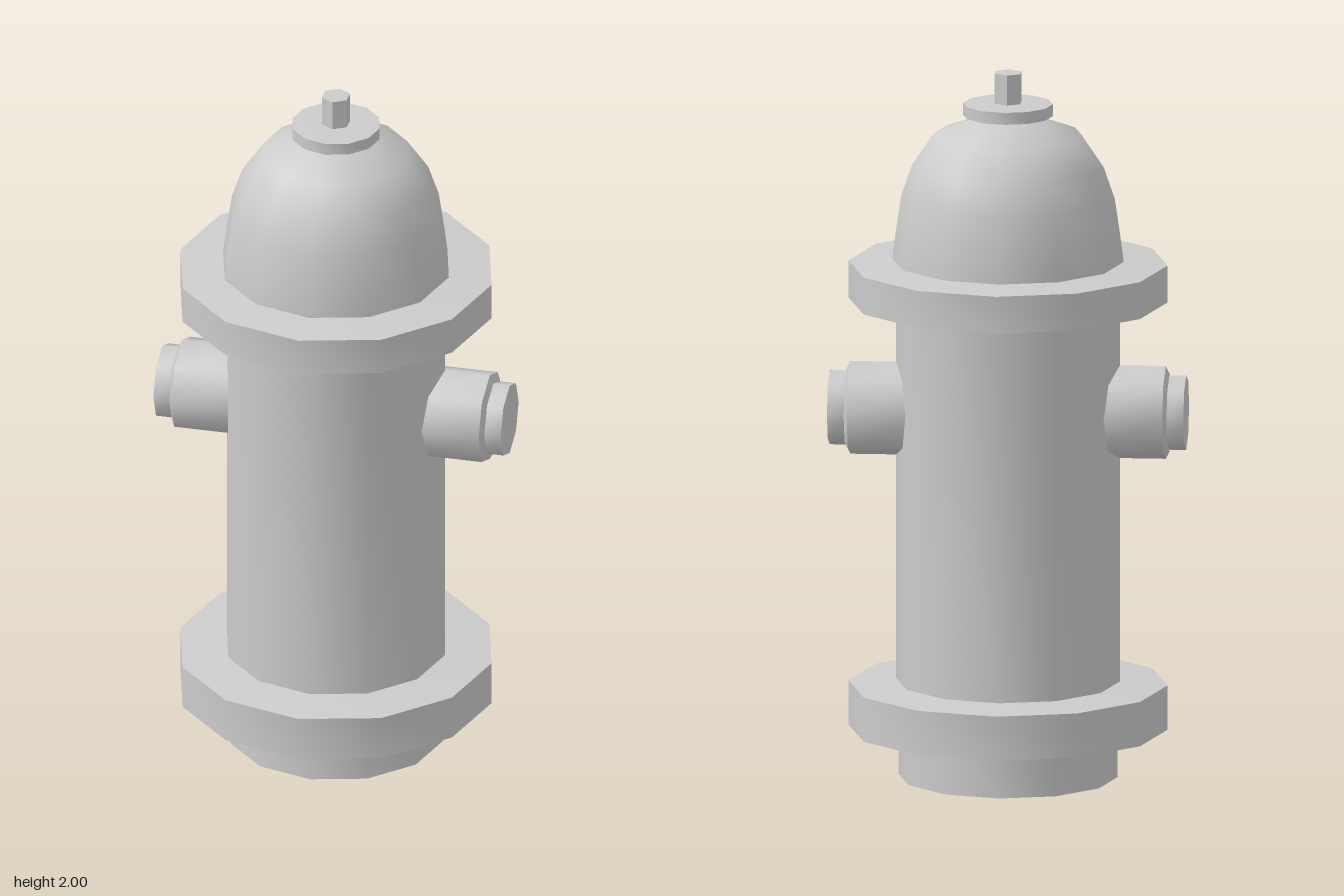
import * as THREE from 'three';
import { toCreasedNormals } from 'three/addons/utils/BufferGeometryUtils.js';

const material = new THREE.MeshStandardMaterial({ color: 0xcccccc });
const openMaterial = new THREE.MeshStandardMaterial({ color: 0xcccccc, side: THREE.DoubleSide });

// Turned part from [radius, height] pairs, listed from bottom to top
function turned(name, profile, sides = 12, mat = material) {
  const points = profile.map(([r, y]) => new THREE.Vector2(r, y));
  const geometry = toCreasedNormals(new THREE.LatheGeometry(points, sides), THREE.MathUtils.degToRad(50));
  const mesh = new THREE.Mesh(geometry, mat);
  mesh.name = name;
  return mesh;
}

// Wide ring whose faces slope slightly towards the barrel
function flange(name, bottom, top) {
  return turned(name, [[0.3, bottom - 0.01], [0.445, bottom], [0.445, top], [0.3, top + 0.01]]);
}

// Side outlet with a stepped cap; its axis is turned from y to x
function outlet(name, side) {
  const group = new THREE.Group();
  group.name = name;
  group.add(
    turned('outletPipe', [[0.132, 0.2], [0.132, 0.44], [0.112, 0.45], [0, 0.45]], 8),
    turned('outletCap', [[0.106, 0.44], [0.106, 0.497], [0, 0.497]], 8),
  );
  group.rotation.z = -side * Math.PI / 2;
  group.position.y = 1.04;
  return group;
}

export function createModel() {
  const model = new THREE.Group();
  model.name = 'fireHydrant';

  // Hollow foot, closed off inside the lower flange
  model.add(turned('foot', [[0.306, 0], [0.306, 0.19], [0, 0.19]], 12, openMaterial));

  // Barrel between the two flanges
  model.add(flange('lowerFlange', 0.137, 0.263));
  model.add(turned('barrel', [[0.312, 0.2], [0.312, 1.4]]));
  model.add(flange('upperFlange', 1.353, 1.458));

  // Domed bonnet
  model.add(turned('bonnet', [
    [0.323, 1.44], [0.323, 1.465], [0.312, 1.55], [0.298, 1.645],
    [0.267, 1.735], [0.206, 1.825], [0.075, 1.875], [0, 1.88],
  ]));

  // Washer and hexagonal operating nut
  model.add(turned('washer', [[0, 1.875], [0.125, 1.878], [0.125, 1.912], [0, 1.916]]));
  model.add(turned('operatingNut', [[0.041, 1.9], [0.041, 2], [0, 2]], 6));

  // Outlets on both sides
  model.add(outlet('leftOutlet', 1), outlet('rightOutlet', -1));

  return model;
}
